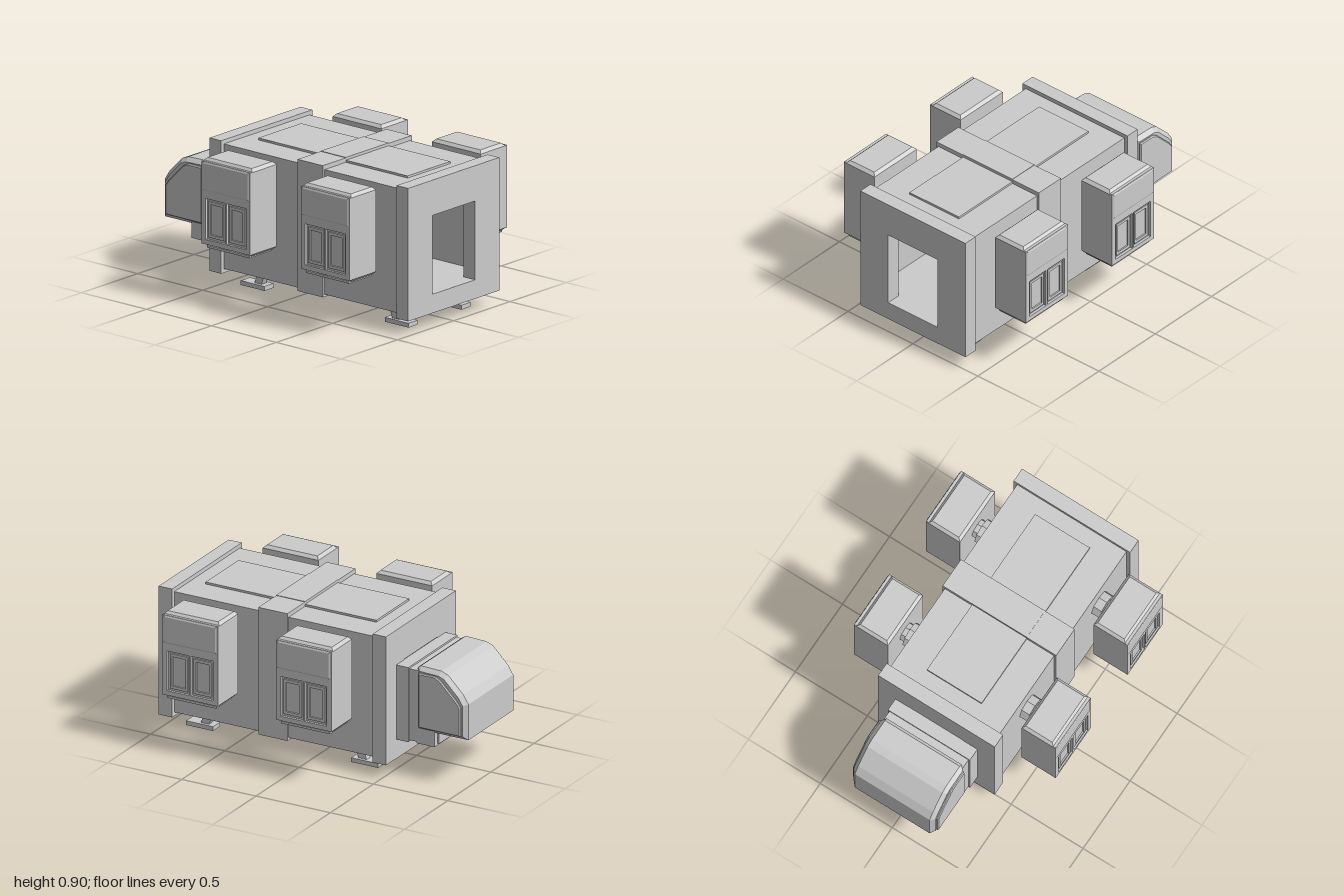
import * as THREE from 'three';

const mat = new THREE.MeshStandardMaterial({ color: 0xcccccc, flatShading: true });

function add(parent, name, geo, x = 0, y = 0, z = 0) {
  const m = new THREE.Mesh(geo, mat);
  m.name = name;
  m.position.set(x, y, z);
  parent.add(m);
  return m;
}

// Box given by its limits
function span(parent, name, x0, x1, y0, y1, z0, z1) {
  return add(parent, name, new THREE.BoxGeometry(x1 - x0, y1 - y0, z1 - z0),
    (x0 + x1) / 2, (y0 + y1) / 2, (z0 + z1) / 2);
}

const rect = (C, x0, x1, y0, y1) => new C([[x0, y0], [x1, y0], [x1, y1], [x0, y1]]
  .map(p => new THREE.Vector2(...p)));

// Rectangular slab in the XY plane with rectangular holes, from z = 0 to depth
function slab(outer, depth, holes = []) {
  const s = rect(THREE.Shape, ...outer);
  s.holes = holes.map(h => rect(THREE.Path, ...h));
  return new THREE.ExtrudeGeometry(s, { depth, bevelEnabled: false });
}

// Shape extruded to a total depth, centred on z, with chamfered end faces
function chamfered(shape, depth, size, thick = size) {
  return new THREE.ExtrudeGeometry(shape, {
    depth: depth - 2 * thick, bevelEnabled: true, bevelSegments: 1,
    bevelSize: size, bevelThickness: thick, bevelOffset: -size,
  }).translate(0, 0, -depth / 2 + thick);
}
const block = (w, h, d, size, thick) =>
  chamfered(rect(THREE.Shape, -w / 2, w / 2, -h / 2, h / 2), d, size, thick);

function makeHull() {
  const g = new THREE.Group();
  g.name = 'hull';
  const room = [-0.35, 0.35, 0.205, 0.84], doorway = [-0.19, 0.19, 0.205, 0.685];
  const collar = [-0.405, 0.405, 0.09, 0.9];
  add(g, 'hullShell', slab([-0.38, 0.38, 0.115, 0.875], 1.35, [room]), 0, 0, -0.44);
  add(g, 'middleBand', slab([-0.395, 0.395, 0.1, 0.902], 0.195, [room]), 0, 0, 0.14);
  add(g, 'frontCollar', slab(collar, 0.09, [doorway]), 0, 0, 0.91);
  add(g, 'rearCollar', slab(collar, 0.09, [doorway]), 0, 0, -0.53);
  span(g, 'roofPanel', -0.19, 0.19, 0.87, 0.888, -0.34, 0.81);
  span(g, 'roofBandPanel', -0.19, 0.19, 0.89, 0.905, 0.14, 0.335);
  span(g, 'bellyPanel', -0.19, 0.19, 0.104, 0.12, -0.02, 0.49);

  // Double door and step at the far end of the room
  span(g, 'doorStep', -0.18, 0.18, 0.205, 0.3, -0.53, -0.46);
  for (const s of [-1, 1]) {
    span(g, 'doorPost', s * 0.185 - 0.005, s * 0.185 + 0.005, 0.245, 0.645, -0.53, -0.45);
    add(g, 'door', block(0.168, 0.335, 0.06, 0.015), s * 0.085, 0.4925, -0.525);
    span(g, 'doorHandle', s * 0.072 - 0.018, s * 0.072 + 0.018, 0.491, 0.499, -0.5, -0.485);
  }
  return g;
}

// Side pod, built on the +x side and centred on z
function makePod() {
  const g = new THREE.Group();
  g.name = 'sidePod';
  add(g, 'podCore', block(0.22, 0.375, 0.535, 0.018).rotateX(-Math.PI / 2), 0.575, 0.6175, 0);

  // Outer face with two framed windows
  const wins = [[-0.155, -0.006, 0.395, 0.645], [0.006, 0.155, 0.395, 0.645]];
  add(g, 'podOuterFace', slab([-0.1875, 0.1875, 0.366, 0.868], 0.016, wins).rotateY(Math.PI / 2), 0.685, 0, 0);
  add(g, 'podUpperPanel', block(0.365, 0.18, 0.03, 0.012, 0.006).rotateY(Math.PI / 2), 0.69, 0.78, 0);
  for (const s of [-1, 1]) {
    const pane = slab([-0.06, 0.06, -0.11, 0.11], 0.012, [[-0.044, 0.044, -0.092, 0.092]]);
    add(g, 'windowFrame', pane.rotateY(Math.PI / 2), 0.682, 0.52, s * 0.08);
  }

  // Underside grille with four slots
  const slots = [];
  for (const i of [-1, 1]) for (const j of [-1, 1]) {
    slots.push([i * 0.042 - 0.032, i * 0.042 + 0.032, j * 0.07 - 0.055, j * 0.07 + 0.055]);
  }
  add(g, 'podGrille', slab([-0.1, 0.1, -0.165, 0.165], 0.014, slots).rotateX(Math.PI / 2), 0.58, 0.354, 0);

  // Octagonal mount
  const mount = (name, r, x0, x1) =>
    add(g, name, new THREE.CylinderGeometry(r, r, x1 - x0, 8).rotateZ(Math.PI / 2), (x0 + x1) / 2, 0.685, 0);
  mount('mountFlange', 0.08, 0.37, 0.435);
  mount('mountNeck', 0.06, 0.43, 0.475);
  return g;
}

// Leg whose strut leans toward dir along z
function makeLeg(x, zTop, dir) {
  const g = new THREE.Group();
  g.name = 'leg';
  const strut = new THREE.BoxGeometry(0.042, 0.12, 0.055);
  const p = strut.attributes.position;
  for (let i = 0; i < p.count; i++) if (p.getY(i) < 0) p.setZ(i, p.getZ(i) + dir * 0.045);
  add(g, 'legStrut', strut, x, 0.075, zTop);
  add(g, 'foot', new THREE.BoxGeometry(0.082, 0.027, 0.182), x, 0.0135, zTop + dir * 0.065);
  return g;
}

function makeCabin() {
  const g = new THREE.Group();
  g.name = 'cabin';
  span(g, 'cabinTunnel', -0.285, 0.285, 0.21, 0.68, -0.61, -0.525);
  span(g, 'cabinNeck', -0.275, 0.275, 0.22, 0.67, -0.68, -0.605);
  span(g, 'cabinKeel', -0.275, 0.275, 0.21, 0.31, -0.78, -0.66);
  span(g, 'keelLip', -0.24, 0.24, 0.22, 0.285, -0.79, -0.77);

  // Profiles run rearward along the first coordinate
  const profile = pts => new THREE.Shape(pts.map(q => new THREE.Vector2(...q)));
  const body = profile([[0.66, 0.295], [1, 0.295], [1, 0.52], [0.965, 0.575],
    [0.865, 0.675], [0.82, 0.693], [0.68, 0.698], [0.66, 0.685]]);
  const side = profile([[0.683, 0.32], [0.965, 0.32], [0.965, 0.5], [0.94, 0.535],
    [0.83, 0.645], [0.795, 0.663], [0.683, 0.663]]);
  add(g, 'cabinBody', chamfered(body, 0.57, 0.025).rotateY(Math.PI / 2));
  add(g, 'cabinSidePanels', chamfered(side, 0.596, 0.006).rotateY(Math.PI / 2));
  return g;
}

export function createModel() {
  const model = new THREE.Group();
  model.name = 'model';
  model.add(makeHull(), makeCabin());
  for (const z of [0.6175, -0.1475]) for (const s of [0, 1]) {
    const pod = makePod();
    pod.position.z = z;
    pod.rotation.y = s * Math.PI;
    model.add(pod);
  }
  for (const x of [-0.235, 0.235]) {
    model.add(makeLeg(x, 0.735, 1), makeLeg(x, -0.245, -1));
  }
  return model;
}
